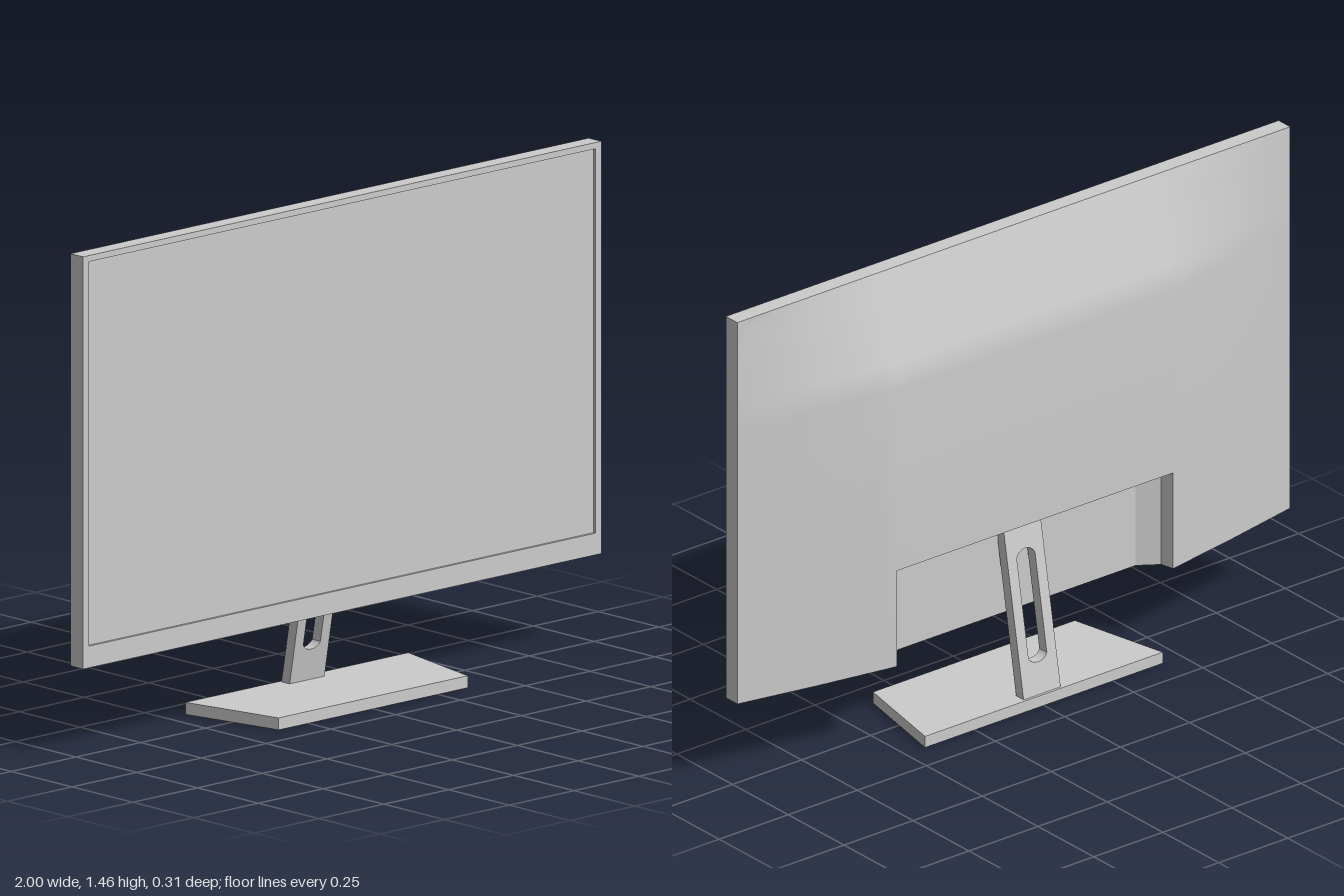
import * as THREE from 'three';

const W = 1, BOTTOM = 0.26, TOP = 1.455, FRONT = 0.03, BACK = -0.022, BULGE = 0.095;
const NOTCH_TOP = 0.56;
// plan of the rear recess, as [x, z]
const NOTCH = [[-0.5, -0.117], [-0.49, -0.075], [-0.43, -0.035], [0.43, -0.035], [0.49, -0.075], [0.5, -0.117]];

const material = new THREE.MeshStandardMaterial({ color: 0xcccccc, side: THREE.DoubleSide });

function add(group, name, geometry) {
  const mesh = new THREE.Mesh(geometry, material);
  mesh.name = name;
  group.add(mesh);
  return mesh;
}

const polygon = (points) => new THREE.Shape(points.map(([x, y]) => new THREE.Vector2(x, y)));
const rect = (x, y0, y1) => polygon([[-x, y0], [x, y0], [x, y1], [-x, y1]]);

// Flat horizontal face from [x, z] points; faces down
function flatFace(points, y) {
  return new THREE.ShapeGeometry(polygon(points)).rotateX(Math.PI / 2).translate(0, y, 0);
}

// Piecewise linear lookup
function lerpTable(table, t) {
  for (let i = 1; i < table.length; i++) {
    const [a, va] = table[i - 1], [b, vb] = table[i];
    if (t <= b) return va + (vb - va) * (t - a) / (b - a);
  }
  return table[table.length - 1][1];
}

// Bulged rear cover: depth is the product of a width and a height profile
function backCover() {
  const across = [[0, 1], [0.5, 1], [0.75, 0.53], [1, 0]];
  const up = [[BOTTOM, 1], [0.85, 1], [1.16, 0.88], [TOP, 0]];
  const xs = [-1, -0.875, -0.75, -0.625, -0.54, -0.5, -0.25, 0, 0.25, 0.5, 0.54, 0.625, 0.75, 0.875, 1];
  const ys = [BOTTOM, NOTCH_TOP, 0.7, 0.85, 1, 1.12, 1.16, 1.2, 1.3, 1.38, TOP];
  const positions = [], index = [];
  for (const y of ys) {
    for (const x of xs) {
      positions.push(x * W, y, BACK - BULGE * lerpTable(across, Math.abs(x)) * lerpTable(up, y));
    }
  }
  const n = xs.length;
  for (let j = 0; j < ys.length - 1; j++) {
    for (let i = 0; i < n - 1; i++) {
      if (j === 0 && xs[i] >= -0.5 && xs[i + 1] <= 0.5) continue; // recess opening
      const a = j * n + i, b = a + 1, c = a + n, d = c + 1;
      index.push(a, c, b, b, c, d);
    }
  }
  const g = new THREE.BufferGeometry();
  g.setAttribute('position', new THREE.Float32BufferAttribute(positions, 3));
  g.setIndex(index);
  g.computeVertexNormals();
  return g;
}

// Upright walls of the recess, following its plan
function recessWalls() {
  const positions = [];
  for (let i = 0; i < NOTCH.length - 1; i++) {
    const [x0, z0] = NOTCH[i], [x1, z1] = NOTCH[i + 1];
    positions.push(x0, BOTTOM, z0, x0, NOTCH_TOP, z0, x1, BOTTOM, z1);
    positions.push(x1, BOTTOM, z1, x0, NOTCH_TOP, z0, x1, NOTCH_TOP, z1);
  }
  const g = new THREE.BufferGeometry();
  g.setAttribute('position', new THREE.Float32BufferAttribute(positions, 3));
  g.computeVertexNormals();
  return g;
}

// Slanted neck plate with a round-ended slot
function neckGeometry() {
  const y0 = 0.03, slope = 0.18;
  const shape = rect(0.067, y0, 0.54);
  const slot = new THREE.Path();
  slot.moveTo(-0.033, 0.145);
  slot.bezierCurveTo(-0.02, 0.122, 0.02, 0.122, 0.033, 0.145);
  slot.lineTo(0.033, 0.44);
  slot.bezierCurveTo(0.02, 0.468, -0.02, 0.468, -0.033, 0.44);
  slot.closePath();
  shape.holes.push(slot);
  const g = new THREE.ExtrudeGeometry(shape, { depth: 0.034, bevelEnabled: false, curveSegments: 10 });
  const p = g.attributes.position;
  for (let i = 0; i < p.count; i++) p.setZ(i, p.getZ(i) - 0.15 + slope * (p.getY(i) - y0));
  g.computeVertexNormals();
  return g;
}

export function createModel() {
  const model = new THREE.Group();
  model.name = 'monitor';

  // Display housing
  const display = new THREE.Group();
  display.name = 'display';
  model.add(display);

  const frame = rect(W, BOTTOM, TOP);
  frame.holes.push(rect(0.977, 0.323, 1.437));
  add(display, 'bezel', new THREE.ExtrudeGeometry(frame, { depth: FRONT - BACK, bevelEnabled: false }))
    .position.z = BACK;
  add(display, 'screen', new THREE.PlaneGeometry(1.954, 1.114)).position.set(0, 0.88, FRONT - 0.008);
  add(display, 'backCover', backCover());
  add(display, 'undersideCover', flatFace([[-W, BACK], ...NOTCH, [W, BACK]], BOTTOM));
  add(display, 'recessCeiling', flatFace(NOTCH, NOTCH_TOP));
  add(display, 'recessWalls', recessWalls());

  // Stand
  const stand = new THREE.Group();
  stand.name = 'stand';
  model.add(stand);

  add(stand, 'neck', neckGeometry());
  const foot = polygon([[-0.43, -0.157], [0.43, -0.157], [0.365, 0.157], [-0.365, 0.157]]);
  const footGeometry = new THREE.ExtrudeGeometry(foot, { depth: 0.035, bevelEnabled: false });
  add(stand, 'foot', footGeometry.rotateX(Math.PI / 2).translate(0, 0.035, 0));

  return model;
}
